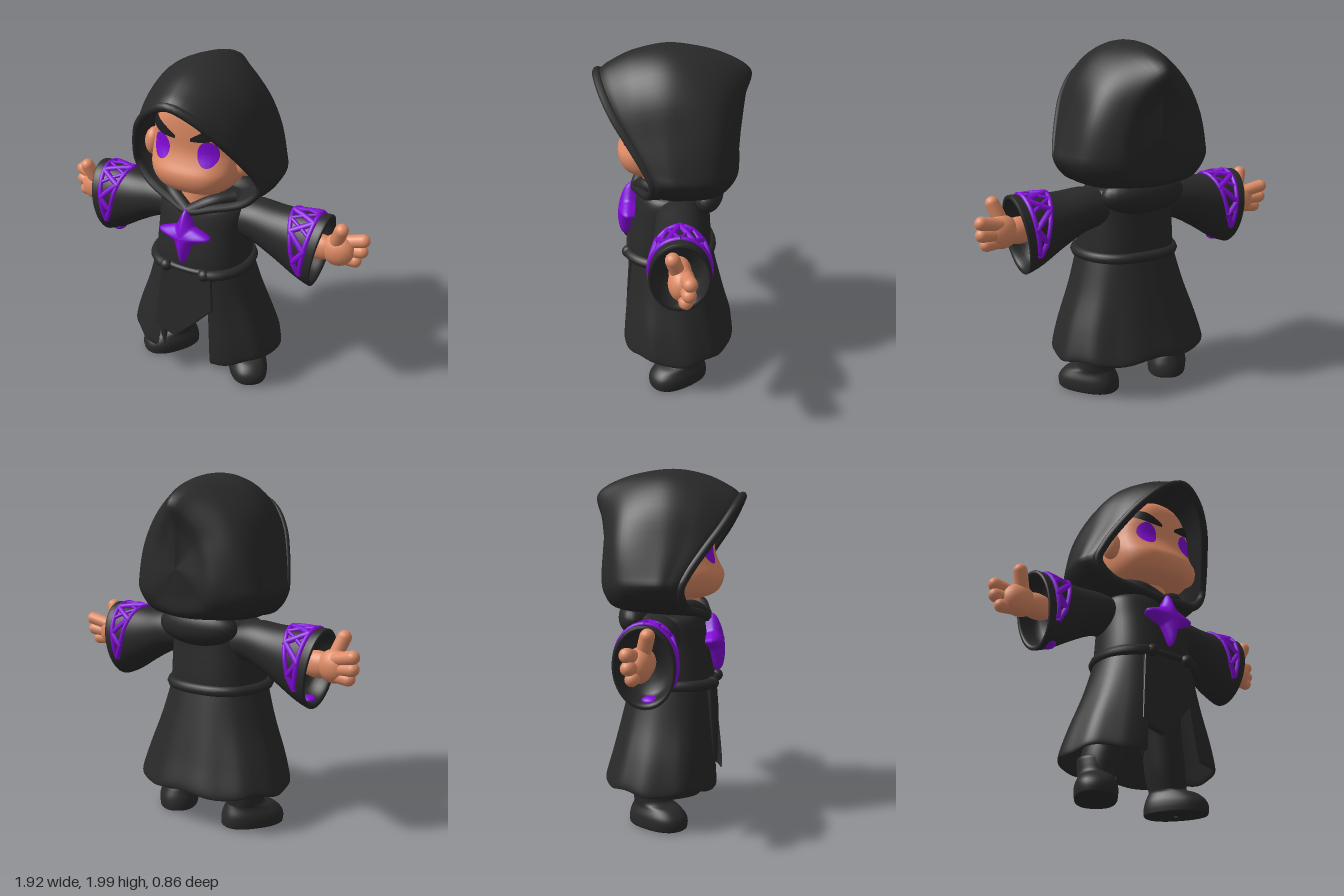
import * as THREE from 'three';

const V = (x, y, z) => new THREE.Vector3(x, y, z);
const robe = new THREE.MeshStandardMaterial({ color: 0x292929, side: THREE.DoubleSide, name: 'black cloth' });
const skin = new THREE.MeshStandardMaterial({ color: 0xde8b65, name: 'skin' });
const purple = new THREE.MeshStandardMaterial({ color: 0x820ad8, name: 'purple' });
const browMat = new THREE.MeshStandardMaterial({ color: 0x1f1f1f, side: THREE.DoubleSide, name: 'brow black' });

function add(parent, name, geo, mat, x = 0, y = 0, z = 0) {
  const m = new THREE.Mesh(geo, mat);
  m.name = name;
  m.position.set(x, y, z);
  parent.add(m);
  return m;
}

// Smooth skin through a list of cross-section rings
function loft(rings, closed = true, nu = 48, nv = 32) {
  const cols = closed ? nu : nu + 1;
  const sampled = rings.map(r => {
    const c = new THREE.CatmullRomCurve3(r, closed, 'catmullrom', 0.5);
    return Array.from({ length: cols }, (_, i) => c.getPoint(i / nu));
  });
  const pos = [], idx = [];
  for (let i = 0; i < cols; i++) {
    const c = new THREE.CatmullRomCurve3(sampled.map(s => s[i]), false, 'catmullrom', 0.5);
    for (let j = 0; j <= nv; j++) pos.push(...c.getPoint(j / nv).toArray());
  }
  for (let i = 0; i < nu; i++) for (let j = 0; j < nv; j++) {
    const a = i * (nv + 1) + j, b = ((i + 1) % cols) * (nv + 1) + j;
    idx.push(a, b, b + 1, a, b + 1, a + 1);
  }
  const g = new THREE.BufferGeometry();
  g.setAttribute('position', new THREE.Float32BufferAttribute(pos, 3));
  g.setIndex(idx);
  g.computeVertexNormals();
  return g;
}

// Horizontal rounded ring; angle 0 faces the front
function ringPoint(a, y, rx, zf, zb, p = 2, cx = 0) {
  const f = v => Math.sign(v) * Math.abs(v) ** (2 / p);
  return V(cx + rx * f(Math.sin(a)), y, (zf + zb) / 2 + (zf - zb) / 2 * f(Math.cos(a)));
}
const ring = (...args) => Array.from({ length: 16 }, (_, i) => ringPoint(i / 16 * Math.PI * 2, ...args));
const tube = (pts, r, closed = false, n = 24) =>
  new THREE.TubeGeometry(new THREE.CatmullRomCurve3(pts, closed), n, r, 8, closed);

// Mirror a half ring that runs from top centre to bottom centre
const mirrorRing = half => {
  const pts = half.map(p => V(...p));
  return [...pts, ...pts.slice(1, -1).reverse().map(p => V(-p.x, p.y, p.z))];
};

// Sleeve surface: x, centre y, half height, half depth
const SLEEVE = [[0.15, 1.08, 0.1, 0.12], [0.3, 1.08, 0.125, 0.13], [0.45, 1.04, 0.155, 0.14],
  [0.6, 1.0, 0.2, 0.155], [0.695, 0.985, 0.222, 0.165]];
function sleevePoint(x, a, k = 1) {
  let i = 0;
  while (i < SLEEVE.length - 2 && x > SLEEVE[i + 1][0]) i++;
  const t = (x - SLEEVE[i][0]) / (SLEEVE[i + 1][0] - SLEEVE[i][0]);
  const [, cy, ry, rz] = SLEEVE[i].map((v, n) => THREE.MathUtils.lerp(v, SLEEVE[i + 1][n], t));
  return V(x + 0.033 * Math.cos(a) * Math.max(0, (x - 0.3) / 0.4), cy + k * ry * Math.cos(a), -0.03 + k * rz * Math.sin(a));
}

function makeArm() {
  const arm = new THREE.Group();
  const section = (x, k) => Array.from({ length: 16 }, (_, i) => sleevePoint(x, i / 8 * Math.PI, k));
  const rings = [...SLEEVE.map(s => section(s[0], 1)), section(0.708, 0.96), section(0.708, 0.9), section(0.69, 0.86), section(0.6, 0.8), section(0.56, 0.01)];
  add(arm, 'sleeve', loft(rings, true, 48, 40), robe);

  // Lattice trim wrapping the cuff, tapering towards its underside
  const outer = 0.65, inner = a => 0.51 + 0.12 * (Math.abs(a) / 2.1) ** 1.5;
  const stroke = (x0, a0, x1, a1, r) => add(arm, 'cuffTrim', tube(Array.from({ length: 9 }, (_, i) =>
    sleevePoint(THREE.MathUtils.lerp(x0, x1, i / 8), THREE.MathUtils.lerp(a0, a1, i / 8), 1)), r, false, 16), purple);
  const steps = [0, 0.45, 0.9, 1.35, 1.75, 2.1];
  for (const s of [1, -1]) {
    stroke(outer, 0, outer, s * 2.1, 0.014);
    for (let i = 0; i < 5; i++) {
      const a = s * steps[i], b = s * steps[i + 1], odd = i % 2;
      stroke(odd ? outer : inner(a), a, odd ? inner(b) : outer, b, 0.017);
      if (i < 2) stroke(odd ? inner(a) : outer, a, odd ? outer : inner(b), b, 0.011);
      if (i < 4) stroke(inner(a), a, inner(b), b, 0.013);
    }
  }

  // Hand with the palm facing forward
  const blob = (name, x, y, z, sx, sy, sz) =>
    add(arm, name, new THREE.SphereGeometry(1, 20, 14), skin, x, y, z).scale.set(sx, sy, sz);
  blob('wrist', 0.69, 1.01, -0.03, 0.11, 0.075, 0.06);
  blob('palm', 0.795, 1.015, -0.035, 0.095, 0.092, 0.07);
  const digit = (name, a, b, r) => {
    const d = b.clone().sub(a), m = add(arm, name, new THREE.CapsuleGeometry(r, d.length(), 6, 14), skin);
    m.position.copy(a).addScaledVector(d, 0.5);
    m.quaternion.setFromUnitVectors(V(0, 1, 0), d.normalize());
  };
  digit('finger', V(0.8, 1.055, -0.055), V(0.922, 1.085, -0.075), 0.038);
  digit('finger', V(0.8, 1.005, -0.05), V(0.918, 1.02, -0.07), 0.038);
  digit('finger', V(0.79, 0.97, -0.045), V(0.89, 0.962, -0.055), 0.037);
  digit('thumb', V(0.785, 1.06, -0.02), V(0.823, 1.165, 0.01), 0.039);
  return arm;
}

function makeLeg() {
  const leg = new THREE.Group();
  add(leg, 'trouserLeg', loft([ring(0.14, 0.09, 0.05, -0.17, 2, 0.235), ring(0.25, 0.108, 0.07, -0.18, 2, 0.22),
    ring(0.45, 0.11, 0.09, -0.16, 2, 0.18), ring(0.7, 0.12, 0.12, -0.14, 2, 0.13)]), robe);
  const boot = add(leg, 'boot', loft([ring(0.008, 0.01, 0.03, 0.01), ring(0.008, 0.1, 0.18, -0.14, 2.4), ring(0.03, 0.115, 0.205, -0.16, 2.4),
    ring(0.08, 0.115, 0.2, -0.155, 2.4), ring(0.125, 0.1, 0.155, -0.14, 2.2), ring(0.15, 0.1, 0.09, -0.13),
    ring(0.2, 0.105, 0.08, -0.13), ring(0.24, 0.105, 0.075, -0.13), ring(0.25, 0.08, 0.05, -0.11)]), robe, 0.26, 0, -0.045);
  boot.rotation.y = 0.6;
  return leg;
}

function makeHead() {
  const head = new THREE.Group();
  const rows = [[1.272, 0.01, 0.09, 0.07], [1.28, 0.13, 0.19, -0.1], [1.31, 0.2, 0.265, -0.15], [1.36, 0.24, 0.3, -0.18],
    [1.42, 0.258, 0.308, -0.2], [1.48, 0.265, 0.278, -0.2], [1.55, 0.262, 0.255, -0.2], [1.65, 0.25, 0.258, -0.2],
    [1.75, 0.19, 0.25, -0.16], [1.81, 0.11, 0.2, -0.1], [1.825, 0.01, 0.06, 0.04]];
  const face = add(head, 'face', loft(rows.map(r => ring(...r, 2.6))), skin);
  add(head, 'neck', new THREE.CylinderGeometry(0.1, 0.11, 0.2, 24), skin, 0, 1.22, 0.07);

  // Drape flat details onto the face
  const ray = new THREE.Raycaster();
  const drape = (name, geo, mat, lift) => {
    const p = geo.attributes.position;
    for (let i = 0; i < p.count; i++) {
      ray.set(V(p.getX(i), p.getY(i), 1), V(0, 0, -1));
      const hit = ray.intersectObject(face)[0];
      p.setZ(i, (hit ? hit.point.z : 0.2) + lift);
    }
    geo.computeVertexNormals();
    add(head, name, geo, mat);
  };
  for (const s of [1, -1]) {
    drape('eye', new THREE.RingGeometry(0.001, 1, 32, 5).scale(0.056, 0.072, 1).translate(s * 0.14, 1.55, 0), purple, 0.006);
    const brow = new THREE.PlaneGeometry(1, 1, 12, 4), p = brow.attributes.position;
    for (let i = 0; i < p.count; i++) {
      const u = p.getX(i) + 0.5, v = p.getY(i);
      p.setXY(i, s * (0.045 + 0.175 * u), 1.622 + 0.06 * u + v * (0.016 + 0.05 * Math.sin(u * 2.4)));
    }
    drape('eyebrow', brow, browMat, 0.01);
    add(head, 'ear', new THREE.SphereGeometry(1, 20, 14), skin, s * 0.285, 1.48, 0.09).scale.set(0.05, 0.082, 0.06);
  }
  return head;
}

function makeHood() {
  const hood = new THREE.Group();
  const rim = mirrorRing([[0, 1.848, 0.41], [0.13, 1.79, 0.38], [0.235, 1.68, 0.315], [0.31, 1.56, 0.23], [0.37, 1.43, 0.145],
    [0.385, 1.35, 0.11], [0.3, 1.25, 0.13], [0.13, 1.2, 0.19], [0, 1.17, 0.22]]);
  const front = mirrorRing([[0, 1.968, 0.2], [0.16, 1.905, 0.19], [0.275, 1.77, 0.17], [0.345, 1.59, 0.13], [0.41, 1.43, 0.07],
    [0.425, 1.35, 0.05], [0.32, 1.24, 0.06], [0.14, 1.18, 0.1], [0, 1.16, 0.12]]);
  const middle = mirrorRing([[0, 1.998, 0], [0.17, 1.94, 0], [0.295, 1.8, 0], [0.365, 1.61, 0], [0.425, 1.43, -0.02],
    [0.435, 1.35, -0.03], [0.33, 1.235, -0.03], [0.15, 1.19, -0.03], [0, 1.18, -0.03]]);
  const rear = mirrorRing([[0, 1.955, -0.25], [0.14, 1.89, -0.23], [0.27, 1.76, -0.22], [0.35, 1.6, -0.22], [0.39, 1.43, -0.22],
    [0.39, 1.34, -0.22], [0.3, 1.24, -0.22], [0.13, 1.215, -0.24], [0, 1.21, -0.25]]);
  const back = mirrorRing([[0, 1.86, -0.415], [0.08, 1.8, -0.375], [0.17, 1.69, -0.338], [0.225, 1.56, -0.335], [0.25, 1.43, -0.34],
    [0.24, 1.34, -0.34], [0.18, 1.275, -0.33], [0.08, 1.25, -0.335], [0, 1.245, -0.34]]);
  // The lip bulges out behind the rim; the back closes towards one point
  const lip = rim.map((p, i) => p.clone().lerp(front[i], 0.3)).map(p => V(p.x * 1.03, 1.5 + (p.y - 1.5) * 1.04, p.z));
  const shrink = k => back.map(p => V(p.x * k, 1.5 + (p.y - 1.5) * (k + 0.1), -0.372 + (p.z + 0.372) * k));
  const tip = back.map(() => V(0, 1.5, -0.374));
  add(hood, 'hoodShell', loft([rim, lip, front, middle, rear, back, shrink(0.5), tip], true, 64, 48), robe);
  add(hood, 'hoodRim', tube(rim, 0.024, true, 80), robe);
  // Cloth gathered at the nape
  add(hood, 'hoodDrape', new THREE.SphereGeometry(1, 28, 18), robe, 0, 1.165, -0.18).scale.set(0.26, 0.115, 0.11);
  for (const s of [1, -1])
    add(hood, 'lapel', tube([V(s * 0.22, 1.25, 0.08), V(s * 0.12, 1.235, 0.165), V(-s * 0.01, 1.16, 0.215)], 0.034), robe);
  return hood;
}

function makeRobe() {
  const g = new THREE.Group();
  add(g, 'torso', loft([ring(0.76, 0.28, 0.25, -0.22, 2.4), ring(0.86, 0.275, 0.255, -0.22, 2.4), ring(1.02, 0.265, 0.23, -0.21, 2.4),
    ring(1.16, 0.26, 0.2, -0.2, 2.3), ring(1.2, 0.2, 0.17, -0.17), ring(1.22, 0.12, 0.14, -0.12)]), robe);

  // Skirt split at the front, with an inner lining
  const arc = (y, rx, zf, zb, gap, wave = 0) => Array.from({ length: 41 }, (_, i) => {
    const a0 = Math.asin(gap / rx), a = a0 + (Math.PI * 2 - 2 * a0) * i / 40;
    const p = ringPoint(a, y + wave * Math.cos(6 * a), rx, zf, zb, 2.2);
    return p.set(p.x * (1 + wave * Math.cos(11 * a)), p.y, p.z * (1 + wave * Math.cos(11 * a)));
  });
  add(g, 'skirt', loft([arc(0.81, 0.285, 0.265, -0.22, 0.13), arc(0.6, 0.345, 0.285, -0.27, 0.14, 0.005), arc(0.4, 0.42, 0.305, -0.32, 0.155, 0.01),
    arc(0.255, 0.462, 0.315, -0.36, 0.165, 0.012), arc(0.245, 0.445, 0.3, -0.345, 0.165, 0.012), arc(0.4, 0.395, 0.28, -0.295, 0.155, 0.01),
    arc(0.75, 0.27, 0.24, -0.2, 0.14)], false, 96, 36), robe);

  // Diagonal front flap and the loose strip hanging beside it
  const flap = new THREE.Shape([[-0.15, 0.82], [-0.19, 0.4], [-0.13, 0.36], [-0.06, 0.34], [0.06, 0.46], [0.17, 0.58], [0.15, 0.82]]
    .map(p => new THREE.Vector2(p[0], p[1] - 0.82)));
  add(g, 'frontFlap', new THREE.ExtrudeGeometry(flap, { depth: 0.02, bevelSize: 0.008, bevelThickness: 0.008, bevelSegments: 2 }),
    robe, 0, 0.82, 0.225).rotation.x = -0.07;
  const strip = add(g, 'looseStrip', new THREE.ConeGeometry(0.05, 0.24, 12), robe, -0.165, 0.31, 0.235);
  strip.rotation.x = Math.PI;
  strip.scale.z = 0.5;

  // Belt with rounded ends either side of the flap
  add(g, 'beltBand', tube(ring(0.81, 0.28, 0.258, -0.23, 2.4), 0.017, true, 64), robe);
  const belt = Array.from({ length: 25 }, (_, i) => ringPoint(0.4 + (Math.PI * 2 - 0.8) * i / 24, 0.805, 0.28, 0.278, -0.22, 2.3));
  add(g, 'belt', tube(belt, 0.031, false, 80), robe);
  for (const p of [belt[0], belt[24]]) add(g, 'beltEnd', new THREE.SphereGeometry(0.036, 16, 12), robe, p.x, p.y, p.z);
  return g;
}

// Puffy four-pointed star on the chest, as shrinking outlines from back to front
function makeStar() {
  const radii = [1, 0.58, 0.46, 0.58];
  const outline = (k, z) => Array.from({ length: 16 }, (_, i) => {
    const a = i / 8 * Math.PI, r = k * radii[i % 4];
    return V(0.16 * r * Math.cos(a), 0.165 * r * Math.sin(a) + 0.02 * k * Math.abs(Math.cos(a)), z);
  });
  return loft([outline(0.9, -0.01), outline(1, 0.02), outline(0.98, 0.04), outline(0.82, 0.06), outline(0.45, 0.078), outline(0.01, 0.085)], true, 64, 24);
}

export function createModel() {
  const model = new THREE.Group();
  const parts = { robe: makeRobe(), head: makeHead(), hood: makeHood(), leftArm: makeArm(), rightArm: makeArm(), leftLeg: makeLeg(), rightLeg: makeLeg() };
  for (const [name, part] of Object.entries(parts)) {
    part.name = name;
    if (name.startsWith('right')) part.scale.x = -1;
    model.add(part);
  }
  add(model, 'chestStar', makeStar(), purple, 0, 1.02, 0.232).rotation.x = -0.13;
  add(model, 'cuffSpot', new THREE.SphereGeometry(1, 16, 10), purple, -0.62, 0.8, -0.01).scale.set(0.045, 0.025, 0.05);
  return model;
}
